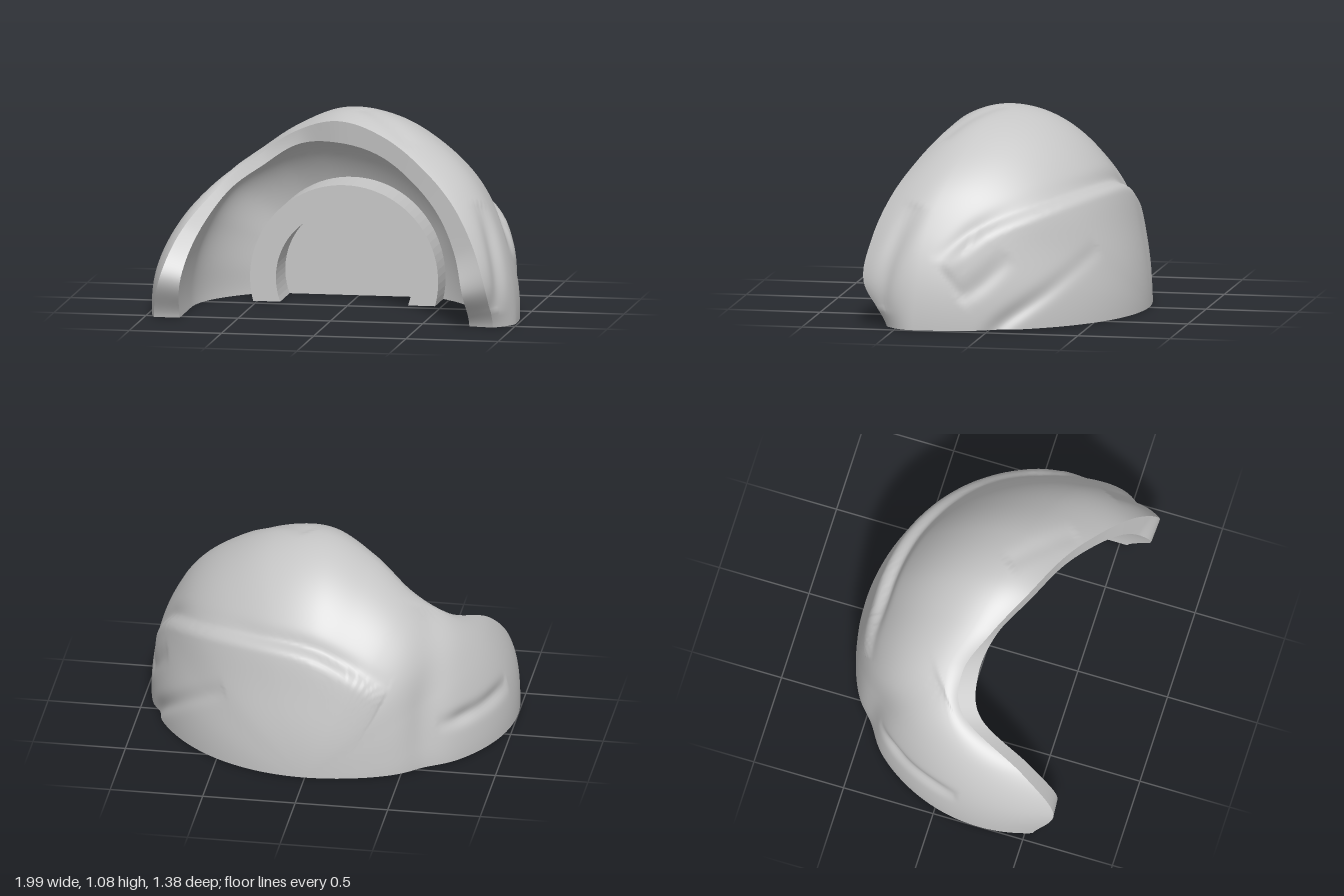
import * as THREE from 'three';

// Values every 15 degrees around the front opening, from the left foot (+x) over the top to the right foot
const OUTER_R = [0.99, 1.0, 1.02, 1.05, 1.065, 1.085, 1.08, 1.01, 0.955, 0.96, 0.985, 1.0, 1.0];
const OUTER_Z = [0.56, 0.69, 0.66, 0.58, 0.47, 0.35, 0.24, 0.1, 0.0, 0.07, 0.44, 0.64, 0.54];
const WIDEST_Z = [0.4, 0.38, 0.35, 0.27, 0.18, 0.11, 0.06, 0.0, -0.08, -0.02, 0.15, 0.25, 0.25];
const TUCK = [0.1, 0.1, 0.1, 0.1, 0.09, 0.07, 0.04, 0.02, 0.02, 0.03, 0.05, 0.07, 0.05];
const INNER_R = [0.76, 0.77, 0.8, 0.84, 0.87, 0.905, 0.92, 0.92, 0.88, 0.88, 0.85, 0.82, 0.81];
const INNER_Z = [0.54, 0.68, 0.62, 0.55, 0.45, 0.34, 0.24, 0.12, 0.08, 0.15, 0.46, 0.63, 0.54];
const BACK_Z = -0.69, FLOOR_Z = -0.48;

const V = (x, y, z) => new THREE.Vector3(x, y, z);

// Smooth lookup in a table, u from 0 to 1
function at(table, u) {
  const n = table.length - 1, f = u * n, i = Math.min(Math.floor(f), n - 1), t = f - i;
  const p = k => table[Math.min(Math.max(k, 0), n)];
  const a = p(i - 1), b = p(i), c = p(i + 1), d = p(i + 2);
  return b + 0.5 * t * (c - a + t * (2 * a - 5 * b + 4 * c - d + t * (3 * (b - c) + d - a)));
}

// Creases pressed into the outside, fading out at both ends: path, depth, width
const STEPS = 120;
const crease = (points, depth, width) => ({
  depth, width, path: new THREE.CatmullRomCurve3(points.map(p => V(...p))).getPoints(STEPS),
});
const foldLine = crease([[-0.42, 0.47, -0.48], [-0.2, 0.6, -0.51], [0, 0.68, -0.5], [0.3, 0.69, -0.4],
  [0.6, 0.63, -0.15], [0.83, 0.52, 0.1], [0.96, 0.37, 0.28]], 0.02, 0.045);
const CREASES = [
  foldLine,
  crease([[-0.58, -0.4, -0.42], [-0.58, 0, -0.42], [-0.57, 0.3, -0.38], [-0.56, 0.55, -0.24],
    [-0.53, 0.74, -0.06]], 0.05, 0.11),
  crease([[0.98, -0.12, 0.06], [0.91, 0.02, -0.05], [0.72, 0.2, -0.28], [0.45, 0.39, -0.49]], 0.025, 0.045),
  crease([[0.96, 0.17, 0.16], [0.93, 0.24, 0.06], [0.85, 0.39, -0.1]], 0.015, 0.05),
  crease([[-0.97, 0.25, 0.12], [-0.87, 0.24, -0.2], [-0.66, 0.22, -0.38]], 0.03, 0.04),
  crease([[0.1, 1.07, 0.08], [0.42, 0.93, 0.36]], 0.012, 0.05),
  crease([[0.78, 0.64, 0.42], [0.92, 0.35, 0.56], [0.93, 0.1, 0.6]], 0.025, 0.06),
];

function nearest(path, p) {
  let best = 0, d = Infinity;
  path.forEach((q, i) => {
    const e = q.distanceToSquared(p);
    if (e < d) { d = e; best = i; }
  });
  return { d: Math.sqrt(d), point: path[best], fade: Math.sqrt(Math.abs(Math.sin(Math.PI * best / STEPS))) };
}

// Outside of the shell: v = 0 at the back, 1 at the front lip
function outer(u, v) {
  const th = u * Math.PI, z0 = at(WIDEST_Z, u), zr = at(OUTER_Z, u);
  let f, z;
  if (v < 0.75) {
    const a = v / 0.75 * Math.PI / 2;
    f = Math.sin(a);
    z = z0 - (z0 - BACK_Z) * Math.cos(a);
  } else {
    const w = (v - 0.75) / 0.25;
    f = 1 - at(TUCK, u) * w * w;
    z = z0 + (zr - z0) * w;
  }
  const r = at(OUTER_R, u) * f;
  const p = V(Math.cos(th) * r, Math.sin(th) * r, z);
  if (u === 0 || u === 1) p.y = 0;
  let push = 0;
  for (const c of CREASES) {
    const { d, point, fade } = nearest(c.path, p);
    push -= c.depth * fade * Math.exp(-((d / c.width) ** 2));
    if (c === foldLine) {
      // the shell swells just below the fold
      const below = THREE.MathUtils.smoothstep(point.y - p.y, -0.02, 0.08);
      push += 0.055 * fade * below * Math.exp(-((d / 0.2) ** 2));
    }
  }
  return p.addScaledVector(p.clone().normalize(), push);
}

// Inside of the shell: v = 0 at the lip, 1 at the middle of the back wall
function inner(u, v) {
  const th = u * Math.PI, z0 = at(WIDEST_Z, u) - 0.06, zr = at(INNER_Z, u);
  let f = 1, z;
  if (v < 0.3) {
    z = zr + (z0 - zr) * v / 0.3;
  } else {
    const a = (v - 0.3) / 0.7 * Math.PI / 2;
    f = Math.cos(a);
    z = z0 - (z0 - FLOOR_Z) * Math.sin(a);
  }
  const r = at(INNER_R, u) * f;
  return V(Math.cos(th) * r, u === 0 || u === 1 ? 0 : Math.sin(th) * r, z);
}

const lip = (u, v) => outer(u, 1).lerp(inner(u, 0), v);

function patch(fn, nu, nv) {
  const pos = [], index = [];
  for (let i = 0; i <= nu; i++) {
    for (let j = 0; j <= nv; j++) {
      pos.push(...fn(i / nu, j / nv).toArray());
      if (i < nu && j < nv) {
        const a = i * (nv + 1) + j, b = a + nv + 1;
        index.push(a, b, a + 1, b, b + 1, a + 1);
      }
    }
  }
  const g = new THREE.BufferGeometry();
  g.setAttribute('position', new THREE.Float32BufferAttribute(pos, 3));
  g.setIndex(index);
  g.computeVertexNormals();
  return g;
}

// Flat underside between the outer and inner outlines
function undersideGeometry() {
  const n = 60, pts = [];
  const add = p => pts.push(new THREE.Vector2(p.x, p.z));
  for (let i = n; i >= 0; i--) add(outer(1, i / n));
  for (let i = 1; i <= n; i++) add(outer(0, i / n));
  for (let i = 0; i <= n; i++) add(inner(0, i / n));
  for (let i = n - 1; i >= 0; i--) add(inner(1, i / n));
  return new THREE.ShapeGeometry(new THREE.Shape(pts)).rotateX(Math.PI / 2);
}

// Socket centred a little above the ground and cut off flat at y = 0
const SOCKET_X = -0.03, SOCKET_Y = 0.13;
function cutArc(r) {
  const a = -Math.asin(SOCKET_Y / r), pts = [];
  for (let i = 0; i <= 48; i++) {
    const t = a + (Math.PI - 2 * a) * i / 48;
    pts.push(new THREE.Vector2(SOCKET_X + r * Math.cos(t), SOCKET_Y + r * Math.sin(t)));
  }
  return pts;
}
function slab(points, z0, z1) {
  return new THREE.ExtrudeGeometry(new THREE.Shape(points), { depth: z1 - z0, bevelEnabled: false }).translate(0, 0, z0);
}

export function createModel() {
  const group = new THREE.Group();
  const grey = new THREE.MeshStandardMaterial({ color: 0xc6c6c6 });
  grey.name = 'plain grey';
  const add = (name, geometry) => {
    const mesh = new THREE.Mesh(geometry, grey);
    mesh.name = name;
    group.add(mesh);
  };
  add('outerShell', patch(outer, 180, 130));
  add('frontLip', patch(lip, 180, 2));
  add('innerShell', patch(inner, 96, 40));
  add('underside', undersideGeometry());
  add('socketRing', slab([...cutArc(0.51), ...cutArc(0.37).reverse()], -0.45, -0.07));
  add('socketFloor', slab(cutArc(0.37), -0.5, -0.35));
  return group;
}
